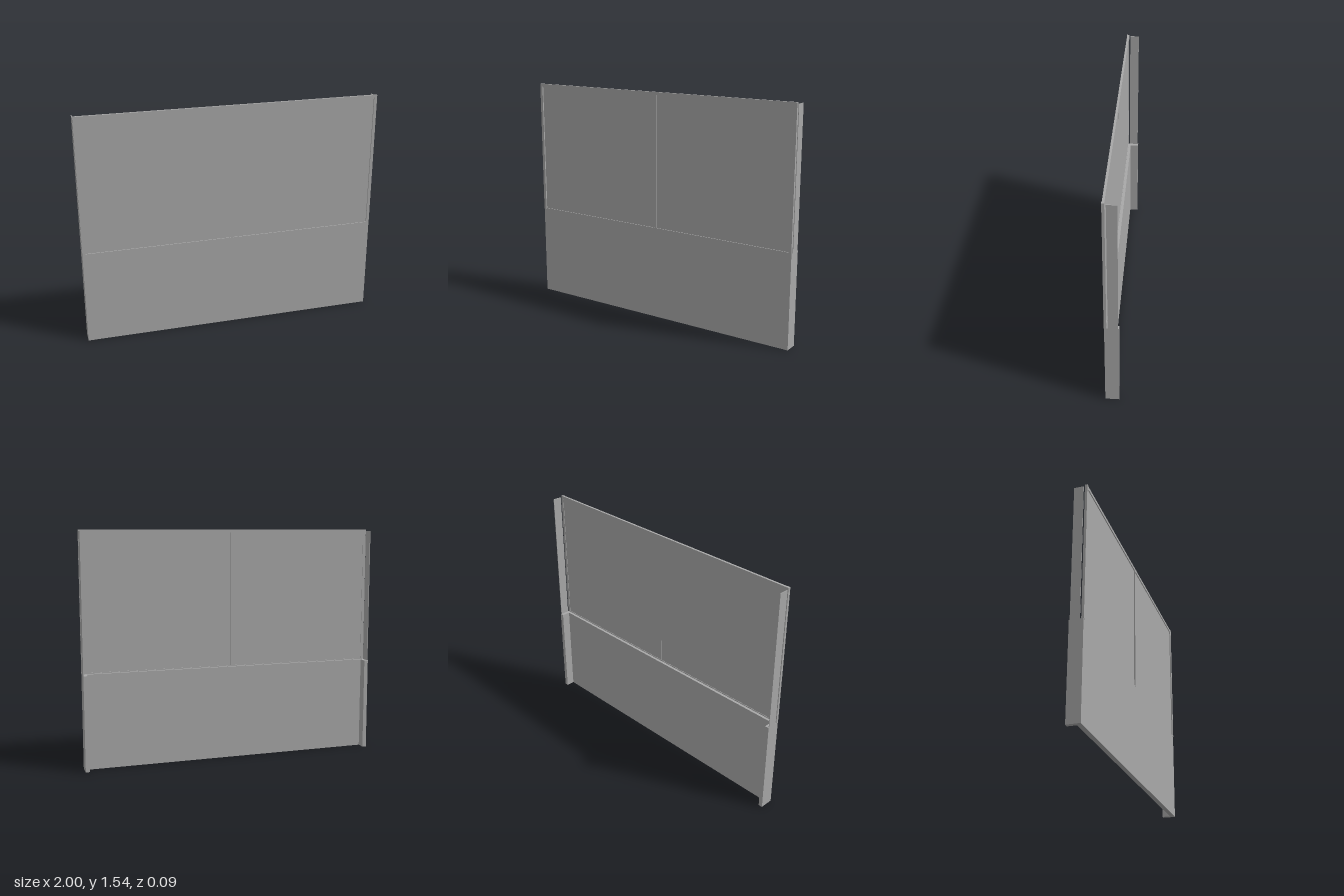
import * as THREE from 'three';

export function createModel() {
  const model = new THREE.Group();
  const grey = new THREE.MeshStandardMaterial({ color: 0xa8a8a8 });
  grey.name = 'plain grey';

  // Box given by its limits on each axis
  const box = (name, x0, x1, y0, y1, z0, z1) => {
    const mesh = new THREE.Mesh(new THREE.BoxGeometry(x1 - x0, y1 - y0, z1 - z0), grey);
    mesh.position.set((x0 + x1) / 2, (y0 + y1) / 2, (z0 + z1) / 2);
    mesh.name = name;
    model.add(mesh);
  };
  // Same box on the left and mirrored on the right
  const pair = (name, x0, x1, ...rest) => {
    box(name + 'Left', x0, x1, ...rest);
    box(name + 'Right', -x1, -x0, ...rest);
  };

  const sill = 0.625, top = 1.54;

  // Solid lower panel with returns at both ends
  box('lowerPanel', -0.973, 0.973, 0, sill, 0.013, 0.044);
  pair('endReturn', 0.973, 1, 0, sill, -0.044, 0.044);

  // Window frame
  box('bottomRail', -0.98, 0.98, sill, 0.632, 0.03, 0.044);
  box('topRail', -0.98, 0.98, 1.52, top, 0.03, 0.044);
  pair('sideStile', 0.98, 1, sill, top, 0.03, 0.046);
  box('mullion', -0.007, 0.007, 0.632, 1.52, 0.038, 0.046);

  // Two panes meeting behind the mullion
  pair('pane', 0.001, 0.98, 0.632, 1.52, 0.033, 0.038);

  // Thin upright fins behind the frame, standing on the returns
  pair('sideFin', 0.996, 1, sill, 1.53, -0.039, 0.022);

  return model;
}
